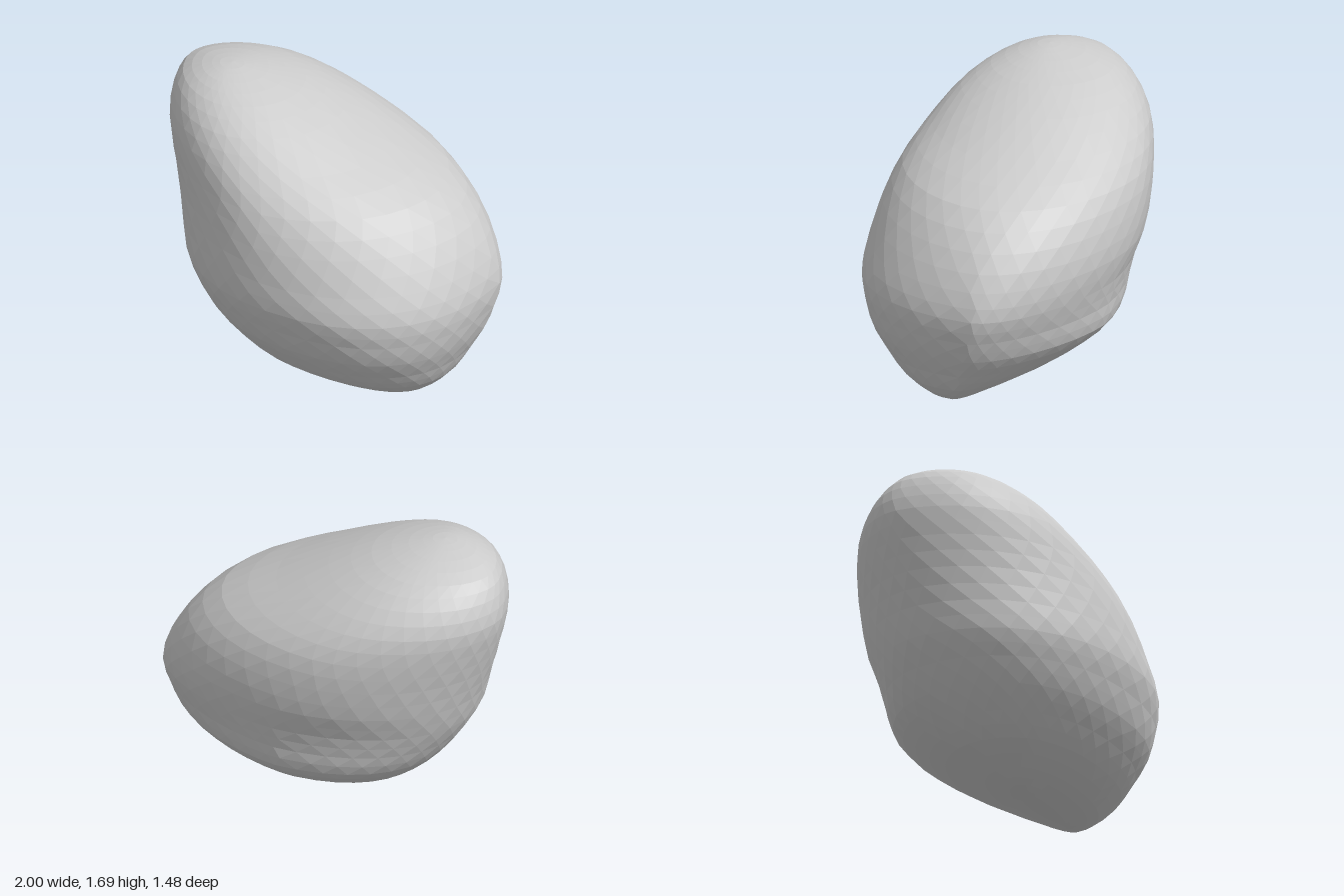
import * as THREE from 'three';

// Horizontal sections of the boulder, bottom to top:
// y, left x, right x, back z, front z, z of left end, z of right end, x of back end, x of front end
const SECTIONS = [
  [0.00, 0.04, 0.45, 0.08, 0.16, 0.12, 0.12, 0.22, 0.22],
  [0.02, -0.08, 0.56, 0.00, 0.22, 0.11, 0.10, 0.20, 0.24],
  [0.07, -0.21, 0.71, -0.13, 0.33, 0.09, 0.06, 0.18, 0.25],
  [0.17, -0.40, 0.82, -0.34, 0.47, 0.06, 0.01, 0.14, 0.24],
  [0.28, -0.53, 0.88, -0.50, 0.565, 0.02, -0.04, 0.12, 0.22],
  [0.40, -0.64, 0.94, -0.62, 0.65, -0.01, -0.09, 0.12, 0.20],
  [0.53, -0.73, 0.98, -0.645, 0.70, -0.04, -0.13, 0.12, 0.16],
  [0.67, -0.81, 1.00, -0.675, 0.74, -0.07, -0.16, 0.11, 0.13],
  [0.83, -0.86, 0.96, -0.725, 0.73, -0.10, -0.14, 0.02, 0.07],
  [1.02, -0.92, 0.85, -0.74, 0.695, -0.13, -0.11, -0.08, 0.00],
  [1.20, -0.97, 0.66, -0.72, 0.63, -0.15, -0.08, -0.17, -0.12],
  [1.36, -1.00, 0.34, -0.65, 0.54, -0.16, -0.06, -0.32, -0.30],
  [1.50, -0.98, 0.04, -0.53, 0.43, -0.14, -0.05, -0.45, -0.43],
  [1.60, -0.92, -0.20, -0.38, 0.30, -0.10, -0.03, -0.54, -0.52],
  [1.66, -0.79, -0.40, -0.20, 0.17, -0.04, -0.01, -0.59, -0.58],
  [1.685, -0.67, -0.53, -0.06, 0.07, 0.00, 0.00, -0.60, -0.60],
];
// Squareness of each quarter, low down and high up
const SQUARENESS = {
  frontRight: [2.4, 1.9], backRight: [1.5, 1.9],
  frontLeft: [2.2, 1.85], backLeft: [2.25, 1.8],
};
const AROUND = 34, STEPS = 2;

// Smooth blend between neighbouring sections
function sectionAt(t) {
  const last = SECTIONS.length - 1;
  const i = Math.min(Math.floor(t), last - 1), f = t - i;
  const [p, a, b, n] = [i - 1, i, i + 1, i + 2].map(k => SECTIONS[Math.min(Math.max(k, 0), last)]);
  return a.map((v, k) => v + 0.5 * f * (b[k] - p[k]
    + f * (2 * p[k] - 5 * v + 4 * b[k] - n[k] + f * (3 * (v - b[k]) + n[k] - p[k]))));
}

// One point of a section made of four superellipse quarters
function ringPoint([y, xL, xR, zB, zF, zcL, zcR, xcB, xcF], angle) {
  const c = Math.cos(angle), s = Math.sin(angle);
  const right = c > 0, front = s > 0;
  const xc = front ? xcF : xcB, zc = right ? zcR : zcL;
  const [low, high] = SQUARENESS[(front ? 'front' : 'back') + (right ? 'Right' : 'Left')];
  const e = THREE.MathUtils.lerp(low, high, THREE.MathUtils.smoothstep(y, 0.45, 1.1));
  const u = Math.abs(c) ** (2 / e), v = Math.abs(s) ** (2 / e);
  return [xc + u * ((right ? xR : xL) - xc), y, zc + v * ((front ? zF : zB) - zc)];
}

export function createModel() {
  const points = [], index = [];
  const rows = (SECTIONS.length - 1) * STEPS + 1;
  for (let j = 0; j < rows; j++) {
    const section = sectionAt(j / STEPS);
    for (let i = 0; i < AROUND; i++) {
      // Alternate rows are offset for irregular-looking facets
      points.push(...ringPoint(section, (i + (j % 2) * 0.5) / AROUND * Math.PI * 2));
    }
  }
  const bottom = rows * AROUND, top = bottom + 1;
  points.push(0.22, 0, 0.12, -0.6, 1.69, 0);

  for (let i = 0; i < AROUND; i++) {
    const n = (i + 1) % AROUND;
    for (let j = 0; j < rows - 1; j++) {
      const a = j * AROUND + i, b = j * AROUND + n;
      const c = a + AROUND, d = b + AROUND;
      if (j % 2) index.push(a, c, d, a, d, b);
      else index.push(a, c, b, b, c, d);
    }
    const r = (rows - 1) * AROUND;
    index.push(i, n, bottom, r + i, top, r + n);
  }

  const geometry = new THREE.BufferGeometry();
  geometry.setAttribute('position', new THREE.Float32BufferAttribute(points, 3));
  geometry.setIndex(index);
  geometry.computeVertexNormals();

  const boulder = new THREE.Mesh(geometry,
    new THREE.MeshStandardMaterial({ color: 0xcccccc, flatShading: true }));
  boulder.name = 'boulder';
  const group = new THREE.Group();
  group.name = 'rock';
  group.add(boulder);
  return group;
}
